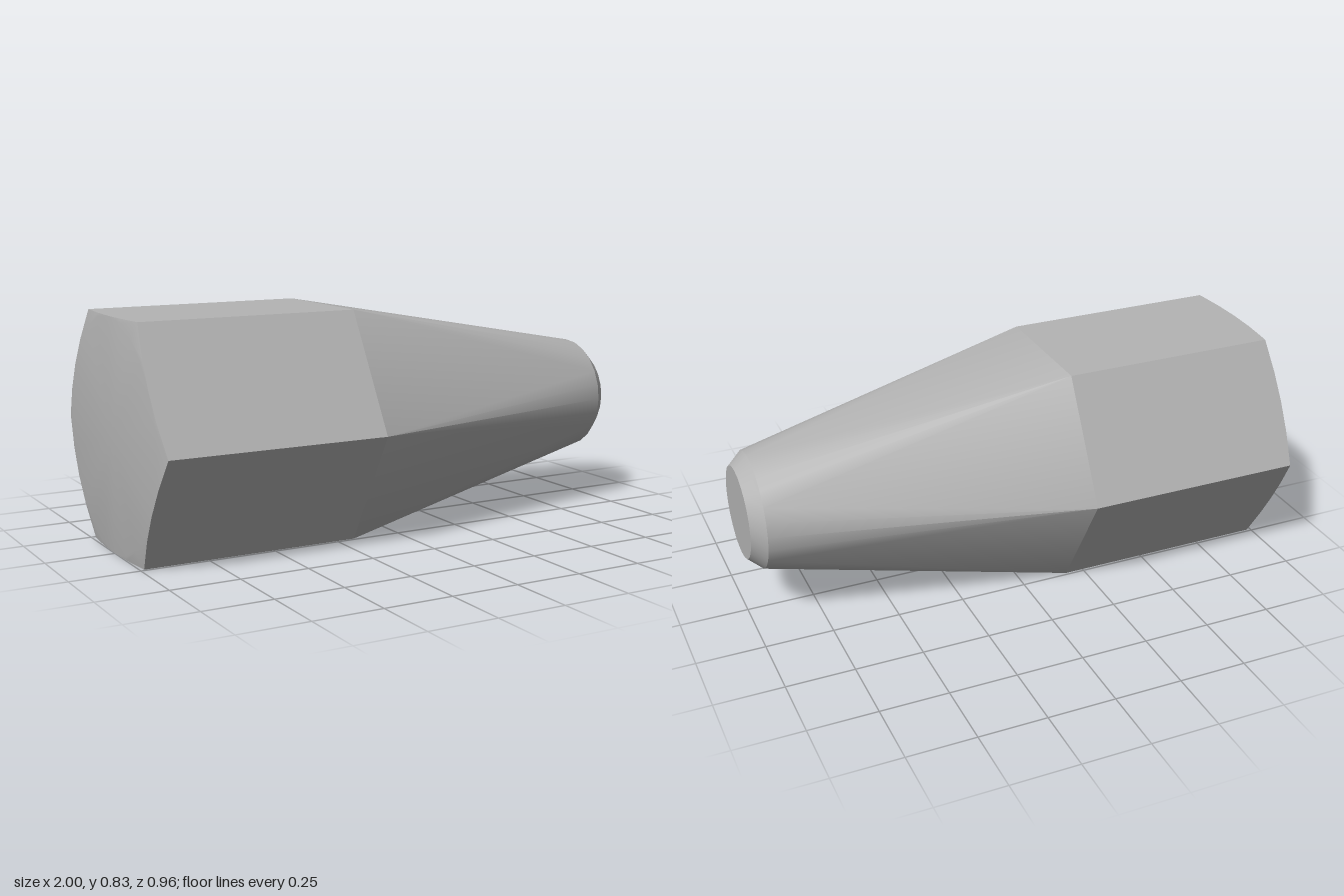
import * as THREE from 'three';
import { toCreasedNormals } from 'three/addons/utils/BufferGeometryUtils.js';

const SIDES = 24, STEP = (Math.PI * 2) / SIDES;
const FLAT = 0.416, CORNER = 0.48, NECK = 0.215, TIP = 0.17;
const JOINT = -0.18, SHOULDER = 0.95;

// Point at distance r from the long axis, at angular step i
const point = (x, r, i) =>
  new THREE.Vector3(x, FLAT + r * Math.sin(i * STEP), r * Math.cos(i * STEP));

// Ring of points; radius and x may depend on the angular step
const ring = (x, r) => Array.from({ length: SIDES }, (_, i) =>
  point(typeof x === 'function' ? x(i) : x, typeof r === 'function' ? r(i) : r, i));

// Hexagon radius at step i (corners every four steps)
const hexRadius = (i) => FLAT / Math.cos(((i % 4) - 2) * STEP);

// Shallow conical bevel that rounds the corners of the wide end
const bevelX = (i) => -1 + 0.015 * (hexRadius(i) - FLAT) / (CORNER - FLAT);

// Join consecutive rings with triangles
function skin(rings) {
  const tris = [];
  const add = (a, b, c) => {
    const area = b.clone().sub(a).cross(c.clone().sub(a)).length();
    if (area > 1e-7) tris.push(a, b, c);
  };
  for (let k = 0; k < rings.length - 1; k++) {
    const a = rings[k], b = rings[k + 1];
    for (let i = 0; i < SIDES; i++) {
      const j = (i + 1) % SIDES;
      add(a[i], b[i], a[j]);
      add(a[j], b[i], b[j]);
    }
  }
  return tris;
}

// Hexagon to circle: a fan at each corner, a flat triangle on each side
function taperTriangles() {
  const tris = [];
  const circle = ring(SHOULDER, NECK);
  for (let k = 0; k < 6; k++) {
    const corner = point(JOINT, hexRadius(0), 4 * k);
    const next = point(JOINT, hexRadius(0), (4 * k + 4) % SIDES);
    for (let s = -2; s < 2; s++) {
      const i = (4 * k + s + SIDES) % SIDES;
      tris.push(corner, circle[i], circle[(i + 1) % SIDES]);
    }
    tris.push(corner, circle[4 * k + 2], next);
  }
  return tris;
}

export function createModel() {
  const model = new THREE.Group();
  const metal = new THREE.MeshStandardMaterial({ color: 0xb4b4b4 });
  metal.name = 'grey metal';

  const addPart = (name, tris) => {
    const geometry = new THREE.BufferGeometry().setFromPoints(tris);
    const mesh = new THREE.Mesh(toCreasedNormals(geometry, 0.4), metal);
    mesh.name = name;
    model.add(mesh);
  };

  addPart('wideEnd', skin([ring(-1, 0), ring(-1, FLAT), ring(bevelX, hexRadius)]));
  addPart('hexShank', skin([ring(bevelX, hexRadius), ring(JOINT, hexRadius)]));
  addPart('taper', taperTriangles());
  addPart('tipBevel', skin([ring(SHOULDER, NECK), ring(1, TIP)]));
  addPart('tipFace', skin([ring(1, TIP), ring(1, 0)]));

  return model;
}
